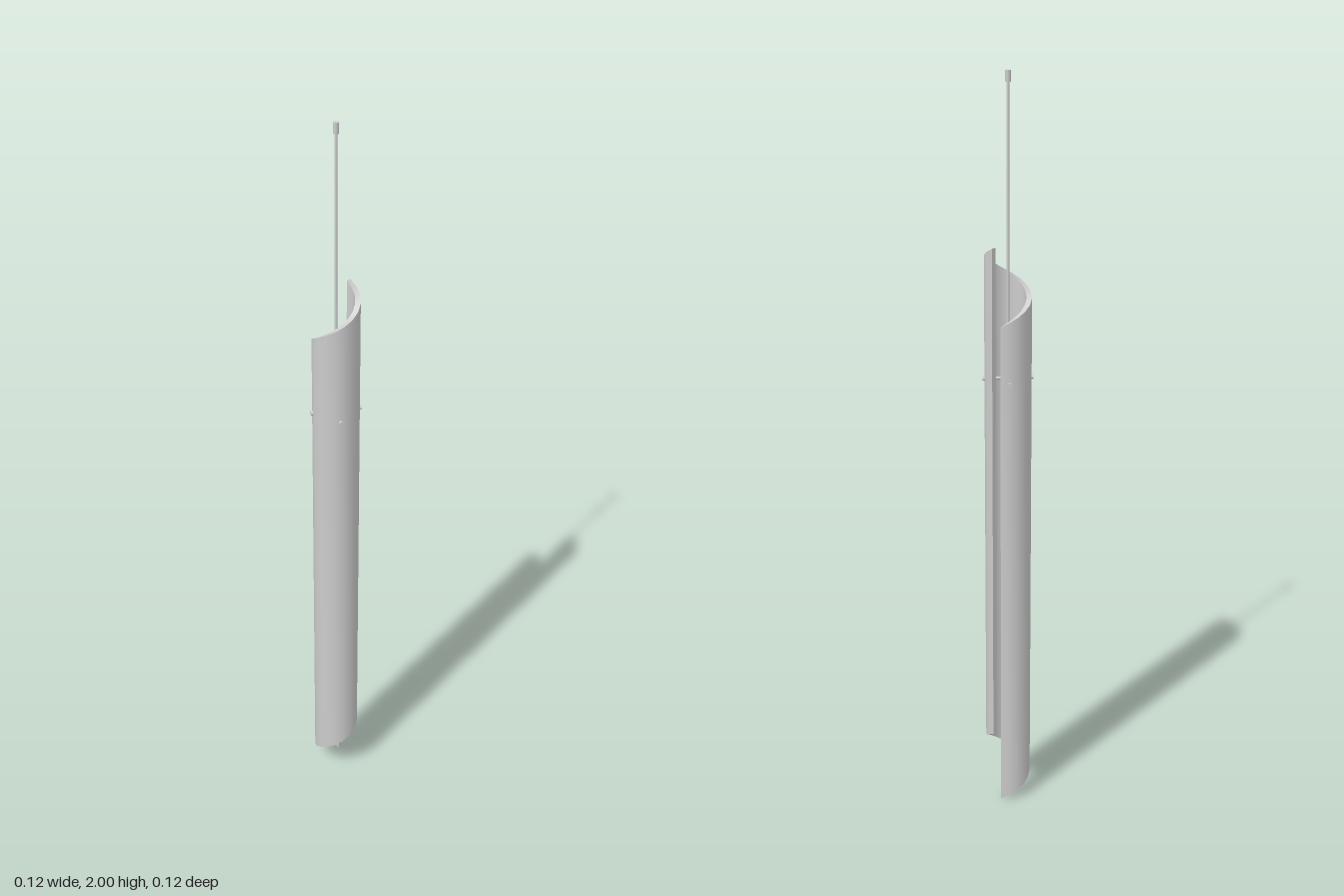
import * as THREE from 'three';
import { toCreasedNormals } from 'three/addons/utils/BufferGeometryUtils.js';

const material = new THREE.MeshStandardMaterial({ color: 0xcccccc });

function addMesh(parent, name, geometry) {
  const mesh = new THREE.Mesh(geometry, material);
  mesh.name = name;
  parent.add(mesh);
  return mesh;
}

// Slit tube: a rectangular wall section swept around y while it slides down
function shadeGeometry(outer, inner, start, end, height, drop, segments) {
  const rings = [];
  for (let i = 0; i <= segments; i++) {
    const t = i / segments;
    const a = THREE.MathUtils.degToRad(start + (end - start) * t);
    const low = drop * (1 - t);
    const corner = (r, y) => [r * Math.sin(a), y, -r * Math.cos(a)];
    rings.push([
      corner(outer, low), corner(outer, low + height),
      corner(inner, low + height), corner(inner, low),
    ]);
  }
  const positions = [];
  const quad = (a, b, c, d) => positions.push(...a, ...b, ...c, ...a, ...c, ...d);
  for (let i = 0; i < segments; i++) {
    for (let j = 0; j < 4; j++) {
      const k = (j + 1) % 4;
      quad(rings[i][j], rings[i][k], rings[i + 1][k], rings[i + 1][j]);
    }
  }
  quad(...[...rings[0]].reverse());
  quad(...rings[segments]);
  const geometry = new THREE.BufferGeometry();
  geometry.setAttribute('position', new THREE.Float32BufferAttribute(positions, 3));
  return toCreasedNormals(geometry, 0.7);
}

export function createModel() {
  const lamp = new THREE.Group();
  lamp.name = 'pendantLamp';

  // Shade with spiral ends and a slit at the back
  addMesh(lamp, 'shade', shadeGeometry(0.061, 0.047, 2, 339, 1.37, 0.2, 16));

  // Four spokes with screw heads holding the shade
  const supportY = 1.22;
  for (let i = 0; i < 4; i++) {
    const arm = new THREE.Group();
    arm.name = 'supportArm';
    arm.position.y = supportY;
    arm.rotation.y = Math.PI / 4 + (i * Math.PI) / 2;
    const spoke = addMesh(arm, 'spoke', new THREE.CylinderGeometry(0.004, 0.004, 0.062, 12));
    spoke.rotation.z = -Math.PI / 2;
    spoke.position.x = 0.031;
    const screw = addMesh(arm, 'screwHead', new THREE.CylinderGeometry(0.006, 0.006, 0.006, 12));
    screw.rotation.z = -Math.PI / 2;
    screw.position.x = 0.063;
    lamp.add(arm);
  }
  const hub = addMesh(lamp, 'hub', new THREE.CylinderGeometry(0.007, 0.007, 0.014, 12));
  hub.position.y = supportY;

  // Hanging cable and its end ferrule
  const cable = addMesh(lamp, 'cable', new THREE.CylinderGeometry(0.0035, 0.0035, 0.77, 12));
  cable.position.y = supportY + 0.385;
  const ferrule = addMesh(lamp, 'cableFerrule', new THREE.CylinderGeometry(0.007, 0.007, 0.028, 12));
  ferrule.position.y = 1.986;

  return lamp;
}
